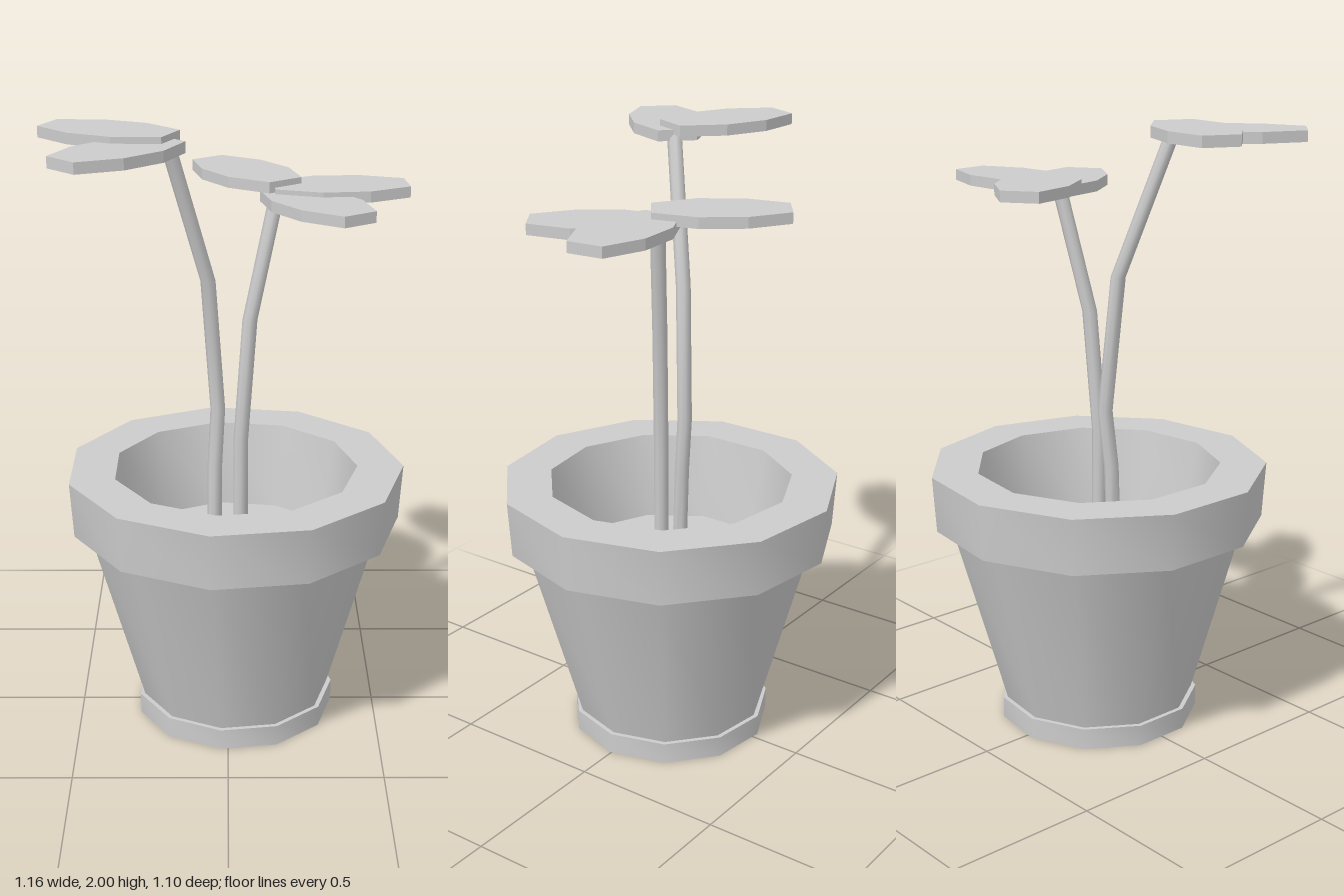
import * as THREE from 'three';
import { toCreasedNormals } from 'three/addons/utils/BufferGeometryUtils.js';

const material = new THREE.MeshStandardMaterial({ color: 0xcccccc });

function addMesh(parent, name, geometry) {
  const mesh = new THREE.Mesh(geometry, material);
  mesh.name = name;
  parent.add(mesh);
  return mesh;
}

// Eleven-sided turned part, smooth around and sharp at the profile corners
function turned(profile) {
  const points = profile.map(([r, y]) => new THREE.Vector2(r, y));
  const lathe = new THREE.LatheGeometry(points, 11, Math.PI / 2);
  return toCreasedNormals(lathe, 0.65);
}

// Thin tube: each ring of a cylinder is moved onto the next path point
function stemGeometry(path, radius) {
  const sides = 8;
  const geo = new THREE.CylinderGeometry(radius, radius, 1, sides, path.length - 1);
  const pos = geo.attributes.position;
  for (let i = 0; i < pos.count; i++) {
    const row = Math.round((0.5 - pos.getY(i)) * (path.length - 1));
    const [x, y, z] = path[path.length - 1 - row];
    pos.setXYZ(i, pos.getX(i) + x, y, pos.getZ(i) + z);
  }
  return toCreasedNormals(geo, 0.9);
}

// Flat eight-cornered leaf from its stem end to its tip, given as [x, z]
function leafGeometry(base, tip, topY) {
  const start = new THREE.Vector2(...base);
  const axis = new THREE.Vector2(...tip).sub(start);
  const side = new THREE.Vector2(-axis.y, axis.x).normalize();
  const half = [[0, 0.063], [0.33, 0.12], [0.68, 0.117], [1, 0.06]];
  const corner = (t, w) => start.clone().addScaledVector(axis, t).addScaledVector(side, w);
  const outline = [
    ...half.map(([t, w]) => corner(t, -w)),
    ...half.slice().reverse().map(([t, w]) => corner(t, w)),
  ];
  const geo = new THREE.ExtrudeGeometry(new THREE.Shape(outline), { depth: 0.035, bevelEnabled: false });
  return geo.rotateX(Math.PI / 2).translate(0, topY, 0);
}

export function createModel() {
  const model = new THREE.Group();
  model.name = 'pottedPlant';

  // Pot: foot, tapered body, overhanging rim and inner wall
  const pot = new THREE.Group();
  pot.name = 'pot';
  pot.position.x = 0.023;
  model.add(pot);
  addMesh(pot, 'potShell', turned([
    [0, 0], [0.334, 0], [0.334, 0.07], [0.319, 0.07],
    [0.493, 0.69], [0.544, 0.69], [0.556, 0.875],
    [0.404, 0.875], [0.352, 0.59],
  ]));
  addMesh(pot, 'soil', turned([[0.352, 0.59], [0, 0.59]]));

  // Two stems, each with its cluster of leaves
  const shoots = [
    {
      name: 'tallShoot',
      path: [[-0.045, 0.59, 0.01], [-0.043, 0.88, 0], [-0.033, 1.07, -0.018], [-0.063, 1.51, 0.01], [-0.18, 1.965, 0.13]],
      leaves: [
        [[-0.17, 0.14], [-0.555, -0.035], 2.0],
        [[-0.17, 0.11], [-0.475, 0.412], 1.98],
      ],
    },
    {
      name: 'shortShoot',
      path: [[0.042, 0.59, 0.022], [0.042, 0.98, 0.022], [0.07, 1.38, 0.005], [0.155, 1.78, -0.05]],
      leaves: [
        [[0.18, -0.045], [-0.068, -0.385], 1.82],
        [[0.142, -0.06], [0.565, -0.098], 1.8],
        [[0.152, -0.093], [0.392, 0.258], 1.785],
      ],
    },
  ];
  for (const { name, path, leaves } of shoots) {
    const shoot = new THREE.Group();
    shoot.name = name;
    model.add(shoot);
    addMesh(shoot, 'stem', stemGeometry(path, 0.024));
    leaves.forEach((leaf, i) => addMesh(shoot, `leaf${i + 1}`, leafGeometry(...leaf)));
  }
  return model;
}
